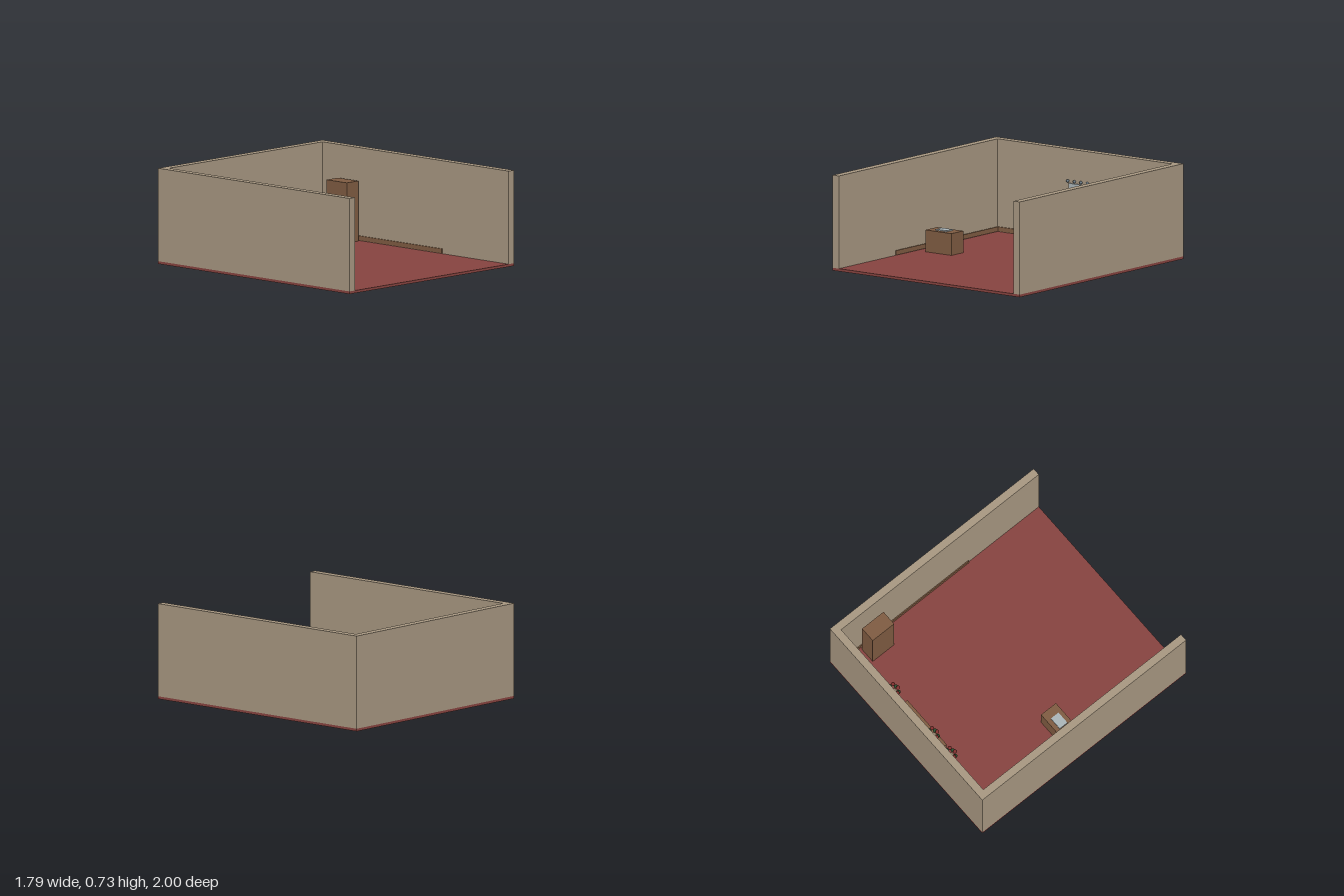
import * as THREE from 'three';

const mat = (name, color) => {
  const m = new THREE.MeshStandardMaterial({ color });
  m.name = name;
  return m;
};

export function createModel() {
  const wall = mat('plaster', 0xa69680);
  const carpet = mat('carpet', 0x86433f);
  const wood = mat('wood', 0x7e5b41);
  const pale = mat('pale panel', 0xaab4b7);
  const metal = mat('metal', 0x6c7a84);
  const stone = mat('vase stone', 0xa89880);
  const red = mat('red bloom', 0x80302e);
  const green = mat('leaf green', 0x2f5030);

  const model = new THREE.Group();
  model.name = 'room';

  const add = (name, geometry, material, x, y, z, parent = model) => {
    const mesh = new THREE.Mesh(geometry, material);
    mesh.name = name;
    mesh.position.set(x, y, z);
    parent.add(mesh);
    return mesh;
  };
  // Box given by its lower and upper corners
  const box = (name, material, [x0, y0, z0], [x1, y1, z1]) =>
    add(name, new THREE.BoxGeometry(x1 - x0, y1 - y0, z1 - z0), material,
      (x0 + x1) / 2, (y0 + y1) / 2, (z0 + z1) / 2);

  // Shell, open at the front
  box('floor', carpet, [-0.895, 0, -1], [0.895, 0.02, 1]);
  box('backWall', wall, [-0.835, 0.02, -1], [0.835, 0.73, -0.94]);
  box('rightWall', wall, [-0.895, 0.02, -1], [-0.835, 0.73, 1]);
  box('leftWall', wall, [0.835, 0.02, -1], [0.895, 0.73, 1]);

  // Skirting boards
  box('backSkirting', wood, [-0.835, 0.023, -0.94], [0.835, 0.058, -0.932]);
  box('rightSkirting', wood, [-0.835, 0.023, -0.932], [-0.827, 0.058, 0.31]);
  box('leftSkirting', wood, [0.827, 0.023, -0.932], [0.835, 0.058, 0.31]);

  // Furniture
  box('counter', wood, [-0.23, 0.02, -0.915], [0.23, 0.197, -0.795]);
  box('sideDesk', wood, [-0.752, 0.02, -0.095], [-0.502, 0.187, 0.05]);
  box('deskSheet', pale, [-0.68, 0.187, -0.06], [-0.575, 0.196, 0.015]);
  box('tallCabinet', wood, [0.685, 0.02, -0.755], [0.81, 0.48, -0.545]);

  // Mirror with a row of bulbs
  box('mirror', pale, [-0.15, 0.245, -0.94], [0.146, 0.47, -0.928]);
  const bulb = new THREE.SphereGeometry(0.012, 12, 8);
  for (let i = 0; i < 6; i++) add('bulb', bulb, metal, -0.158 + i * 0.0626, 0.487, -0.931);

  // Vases with a ring of blooms and leaves
  const vase = new THREE.CylinderGeometry(0.024, 0.022, 0.072, 12);
  const ball = new THREE.SphereGeometry(0.0155, 10, 8);
  for (const x of [-0.337, -0.13, 0.33]) {
    const plant = new THREE.Group();
    plant.name = 'flowerVase';
    plant.position.set(x, 0.197, -0.845);
    model.add(plant);
    add('vase', vase, stone, 0, 0.036, 0, plant);
    for (let i = 0; i < 10; i++) {
      const a = (i / 10) * Math.PI * 2;
      const isLeaf = i % 2 === 0;
      add(isLeaf ? 'leaf' : 'bloom', ball, isLeaf ? green : red,
        0.042 * Math.cos(a), isLeaf ? 0.098 : 0.128, 0.033 * Math.sin(a), plant);
    }
  }
  return model;
}
